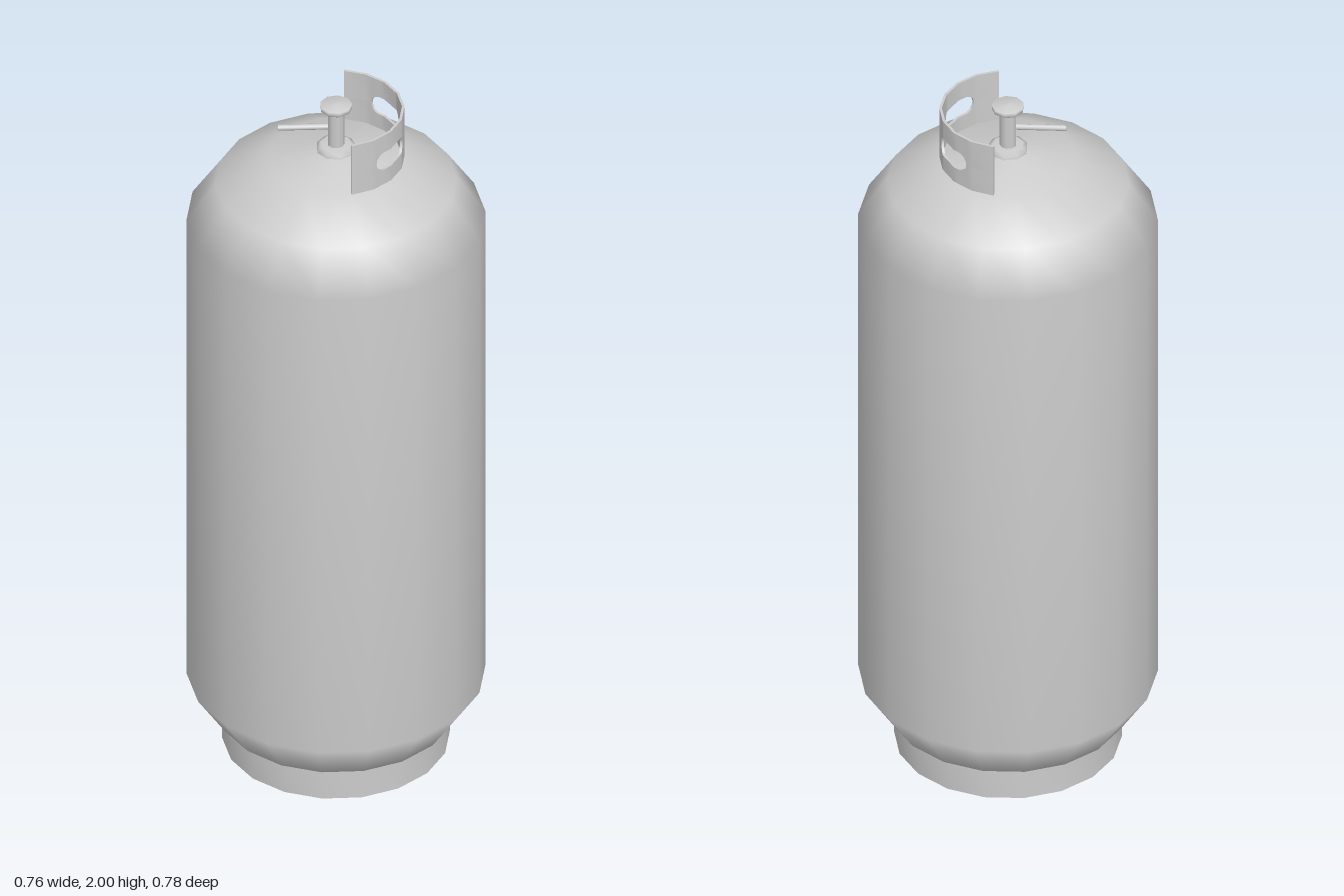
import * as THREE from 'three';
import { toCreasedNormals } from 'three/addons/utils/BufferGeometryUtils.js';

const material = new THREE.MeshStandardMaterial({ color: 0xcccccc });
const DEG = Math.PI / 180;

function addMesh(parent, name, geometry) {
  const mesh = new THREE.Mesh(geometry, material);
  mesh.name = name;
  parent.add(mesh);
  return mesh;
}

function lathe(profile, sides) {
  return new THREE.LatheGeometry(profile.map(([r, y]) => new THREE.Vector2(r, y)), sides);
}

// Collar: 160 degree arc of eight flat panels with two rounded slots
const FROM = -90, TO = 70, PANEL = 20;
const SLOT_Y = 1.904, SLOT_H = 0.027, SLOT_HALF = 20.5, SLOT_END = 9;
const SLOTS = [-43.5, 26];

// Half height of the slot opening at an angle (zero outside the slots)
function slotHeight(a) {
  for (const c of SLOTS) {
    const d = Math.abs(a - c);
    if (d >= SLOT_HALF) continue;
    const t = Math.max(0, (d - (SLOT_HALF - SLOT_END)) / SLOT_END);
    return SLOT_H * Math.sqrt(Math.max(0, 1 - t * t));
  }
  return 0;
}

function collarAngles() {
  const list = [];
  for (let a = FROM; a <= TO; a += PANEL) list.push(a);
  for (const c of SLOTS) {
    for (const s of [-1, 1]) {
      for (let k = 0; k <= 6; k++) {
        list.push(c + s * (SLOT_HALF - SLOT_END * (1 - Math.cos(k * 15 * DEG))));
      }
    }
  }
  list.sort((p, q) => p - q);
  return list.filter((a, i) => i === 0 || a - list[i - 1] > 0.01);
}

// Sweeps a rectangular section round the arc; yRange gives its bottom and top
function collarStrip(yRange) {
  const pos = [], idx = [];
  const angles = collarAngles();
  angles.forEach((a, i) => {
    const within = (((a - FROM) % PANEL) + PANEL) % PANEL - PANEL / 2;
    const flat = Math.cos(PANEL / 2 * DEG) / Math.cos(within * DEG);
    const [y0, y1] = yRange(slotHeight(a));
    for (const [r, y] of [[0.171, y0], [0.178, y0], [0.178, y1], [0.171, y1]]) {
      pos.push(r * flat * Math.cos(a * DEG), y, r * flat * Math.sin(a * DEG));
    }
    if (i === 0) return;
    const p = (i - 1) * 4, q = i * 4;
    for (let j = 0; j < 4; j++) {
      const k = (j + 1) % 4;
      idx.push(p + j, p + k, q + k, p + j, q + k, q + j);
    }
  });
  const e = (angles.length - 1) * 4;
  idx.push(0, 2, 1, 0, 3, 2, e, e + 1, e + 2, e, e + 2, e + 3);
  const geometry = new THREE.BufferGeometry();
  geometry.setAttribute('position', new THREE.Float32BufferAttribute(pos, 3));
  geometry.setIndex(idx);
  return toCreasedNormals(geometry, 35 * DEG);
}

export function createModel() {
  const model = new THREE.Group();
  model.name = 'gasCylinder';

  // Tank: the same dome at both ends
  const dome = [[0, 0], [0.177, 0.035], [0.313, 0.11], [0.388, 0.223]];
  const top = dome.map(([r, y]) => [r, 1.867 - y]).reverse();
  addMesh(model, 'tank', lathe([...dome, ...top], 18));

  // Foot ring
  const ring = lathe([[0.275, 0.015], [0.295, 0.015], [0.295, 0.108], [0.275, 0.108], [0.275, 0.015]], 18);
  addMesh(model, 'footRing', toCreasedNormals(ring, 35 * DEG));

  // Guard collar, split at the middle of the slots
  const collar = new THREE.Group();
  collar.name = 'collar';
  addMesh(collar, 'collarLower', collarStrip(h => [1.825, SLOT_Y - h]));
  addMesh(collar, 'collarUpper', collarStrip(h => [SLOT_Y + h, 1.984]));
  model.add(collar);

  // Valve: flange, stem and knob, nine-sided
  const valve = new THREE.Group();
  valve.name = 'valve';
  valve.rotation.y = Math.PI;
  addMesh(valve, 'flange', lathe([[0.052, 1.845], [0.052, 1.867], [0.04, 1.873], [0, 1.873]], 9));
  addMesh(valve, 'stem', lathe([[0.022, 1.86], [0.022, 1.985]], 9));
  addMesh(valve, 'knob', lathe([[0, 1.976], [0.034, 1.978], [0.042, 1.984], [0.042, 1.996], [0, 2]], 9));
  model.add(valve);

  // Outlet pipe
  const start = new THREE.Vector3(-0.01, 1.928, 0.002), end = new THREE.Vector3(-0.15, 1.928, 0.025);
  const pipeGeometry = new THREE.CylinderGeometry(0.008, 0.008, start.distanceTo(end), 8);
  const pipe = addMesh(model, 'outletPipe', pipeGeometry);
  pipe.position.copy(start).lerp(end, 0.5);
  pipe.quaternion.setFromUnitVectors(new THREE.Vector3(0, 1, 0), end.clone().sub(start).normalize());

  return model;
}
